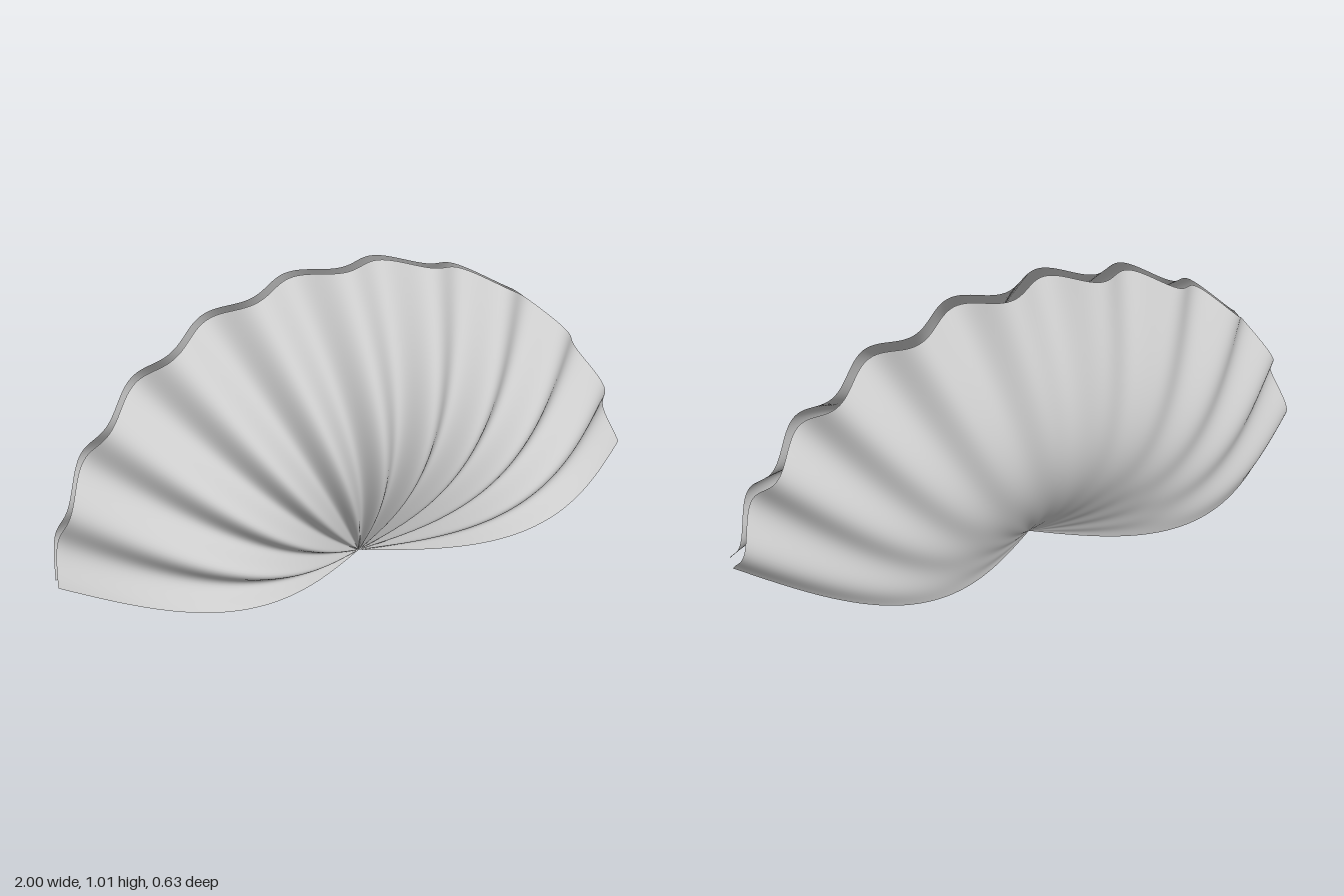
import * as THREE from 'three';

const RADIUS = 1.015;                        // length of a rib, hinge to rim
const HALF_FAN = THREE.MathUtils.degToRad(80);
const RIBS = 22;                             // ribs per full turn
const BULGE = 0.245;                         // depth of the dome
const LEAN = -0.15;                          // both valves lean back

// Fan-shaped fluted valve: side = 1 domes to the front, side = -1 to the back
function valveGeometry(side) {
  const geo = new THREE.PlaneGeometry(1, 1, 220, 40);
  const pos = geo.attributes.position;
  const uv = geo.attributes.uv;
  for (let i = 0; i < pos.count; i++) {
    const t = uv.getY(i);
    const phi = side * (uv.getX(i) * 2 - 1) * HALF_FAN;
    const wave = Math.cos(RIBS * phi);
    const dome = side * BULGE * Math.sin(Math.PI * t) * (1 + 0.06 * wave);
    pos.setXYZ(
      i,
      RADIUS * t * Math.sin(phi),
      RADIUS * t * Math.cos(phi),
      dome + 0.036 * t * wave
    );
  }
  geo.computeVertexNormals();
  return geo;
}

export function createModel() {
  const group = new THREE.Group();
  const shellMat = new THREE.MeshStandardMaterial({ color: 0xcccccc, side: THREE.DoubleSide });
  const fleshMat = new THREE.MeshStandardMaterial({ color: 0xe9967a });

  // Two valves, hinged close together at the bottom
  for (const [name, side, y, z] of [['frontValve', 1, 0.008, 0.055], ['backValve', -1, 0.002, 0.01]]) {
    const valve = new THREE.Mesh(valveGeometry(side), shellMat);
    valve.name = name;
    valve.position.set(0, y, z);
    valve.rotation.x = LEAN;
    group.add(valve);
  }

  // Soft oval bodies inside, one on each side of the hinge
  const bodyGeo = new THREE.SphereGeometry(1, 40, 24);
  for (const s of [1, -1]) {
    const body = new THREE.Mesh(bodyGeo, fleshMat);
    body.name = s > 0 ? 'leftBody' : 'rightBody';
    body.scale.set(0.215, 0.093, 0.086);
    body.position.set(s * 0.32, 0.127, 0.014);
    group.add(body);
  }
  return group;
}
